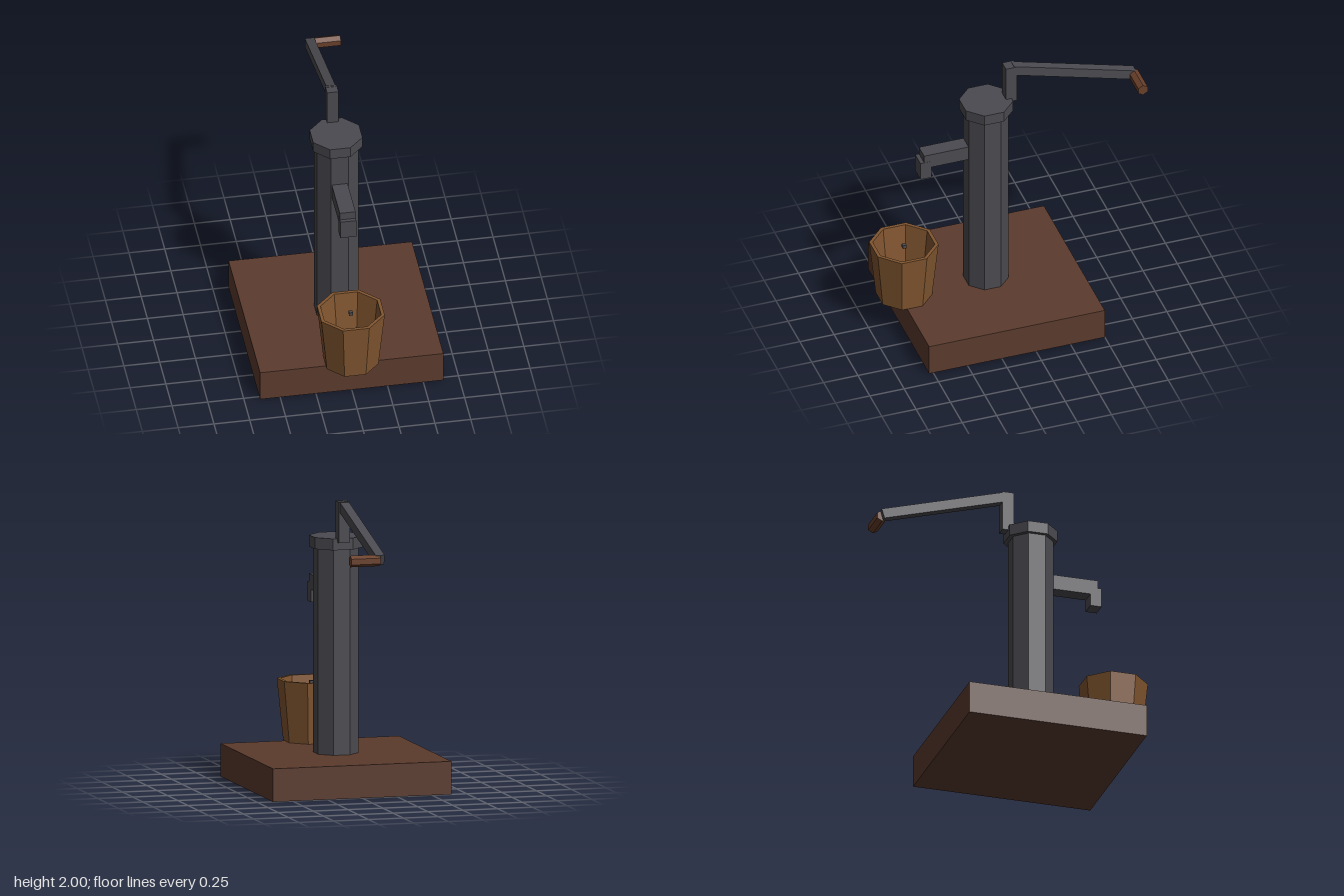
import * as THREE from 'three';

const material = (name, color) => {
  const m = new THREE.MeshStandardMaterial({ color });
  m.name = name;
  return m;
};

export function createModel() {
  const iron = material('iron', 0x4a4a50);
  const baseWood = material('baseWood', 0x5b3b2d);
  const bucketWood = material('bucketWood', 0x825630);
  const gripWood = material('gripWood', 0x6a402b);

  const model = new THREE.Group();
  model.name = 'waterPump';

  // Faceted mesh from any geometry
  function add(name, geometry, mat, x, y, z) {
    const flat = geometry.index ? geometry.toNonIndexed() : geometry;
    flat.computeVertexNormals();
    const mesh = new THREE.Mesh(flat, mat);
    mesh.name = name;
    mesh.position.set(x, y, z);
    model.add(mesh);
    return mesh;
  }

  // Box given by its width and its y and z ranges, centred on x = 0
  const box = (name, mat, w, y0, y1, z0, z1) =>
    add(name, new THREE.BoxGeometry(w, y1 - y0, z1 - z0), mat, 0, (y0 + y1) / 2, (z0 + z1) / 2);

  // Upright octagon with flat sides facing the axes, sized by its half width
  const corner = 1 / Math.cos(Math.PI / 8);
  const octagon = (name, half, y0, y1, z) =>
    add(name, new THREE.CylinderGeometry(half * corner, half * corner, y1 - y0, 8, 1, false, Math.PI / 8),
      iron, 0, (y0 + y1) / 2, z);

  // Base and column
  box('base', baseWood, 1.28, 0, 0.23, -0.5, 0.78);
  octagon('column', 0.145, 0.23, 1.66, 0.145);
  octagon('columnCap', 0.172, 1.66, 1.74, 0.143);

  // Spout
  box('spout', iron, 0.11, 1.305, 1.412, 0.25, 0.613);
  box('spoutNozzle', iron, 0.112, 1.218, 1.355, 0.56, 0.64);

  // Lever: upright, sloping arm and cross grip
  box('leverPost', iron, 0.08, 1.715, 2, -0.07, 0.012);
  const arm = add('leverArm', new THREE.BoxGeometry(0.065, 0.07, 0.925), iron, 0, 1.842, -0.485);
  arm.rotation.x = -Math.atan(0.284);
  const grip = add('leverGrip', new THREE.CylinderGeometry(0.04, 0.04, 0.21, 6), gripWood, 0.107, 1.713, -0.927);
  grip.rotation.set(0, 0, -Math.PI / 2);
  grip.geometry.rotateY(Math.PI / 2);

  // Hollow eight-sided bucket
  const profile = [[0, 0.23], [0.18, 0.23], [0.221, 0.66], [0.198, 0.66], [0.16, 0.27], [0, 0.27]]
    .map(([half, y]) => new THREE.Vector2(half * corner, y));
  add('bucket', new THREE.LatheGeometry(profile, 8, Math.PI / 8), bucketWood, 0, 0, 0.742);

  // Falling drop
  box('drop', iron, 0.026, 0.622, 0.648, 0.727, 0.753);

  return model;
}
